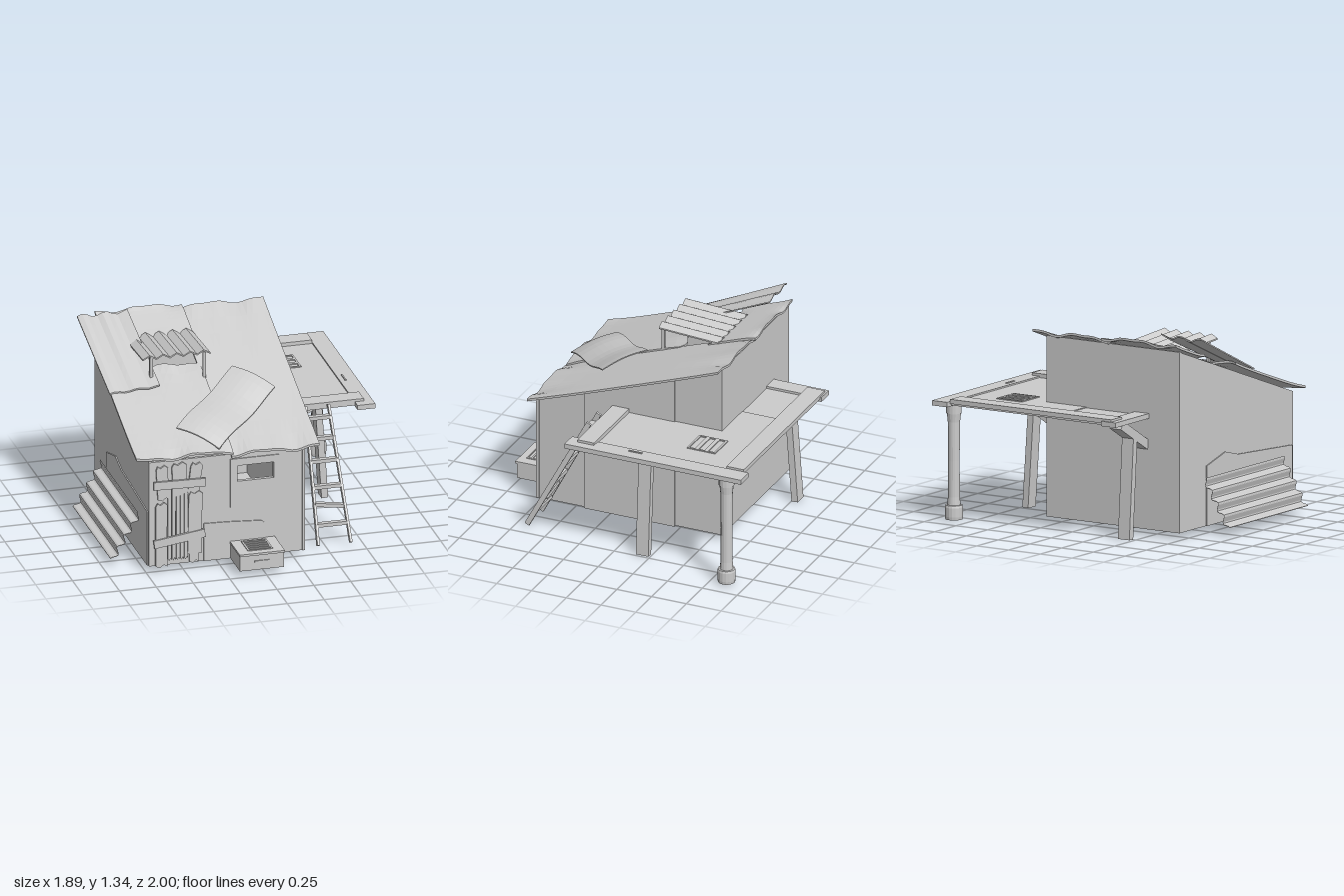
import * as THREE from 'three';

const mat = new THREE.MeshStandardMaterial({ color: 0xcccccc, flatShading: true, side: THREE.DoubleSide });

export function createModel() {
  const model = new THREE.Group();
  let parent = model;
  const group = (name) => {
    parent = new THREE.Group();
    parent.name = name;
    model.add(parent);
  };
  const add = (name, geo) => {
    const m = new THREE.Mesh(geo, mat);
    m.name = name;
    parent.add(m);
    return m;
  };
  // Box given by its limits on each axis
  const box = (name, x0, x1, y0, y1, z0, z1) => {
    const m = add(name, new THREE.BoxGeometry(x1 - x0, y1 - y0, z1 - z0));
    m.position.set((x0 + x1) / 2, (y0 + y1) / 2, (z0 + z1) / 2);
    return m;
  };
  // Square-cut beam between two points
  const beam = (name, a, b, w, d) => {
    const p = new THREE.Vector3(...a), q = new THREE.Vector3(...b);
    const m = add(name, new THREE.BoxGeometry(w, p.distanceTo(q), d));
    m.position.copy(p).add(q).multiplyScalar(0.5);
    m.quaternion.setFromUnitVectors(new THREE.Vector3(0, 1, 0), q.sub(p).normalize());
    return m;
  };
  // Bent sheet: f(u, v) gives the middle surface
  const sheet = (name, nu, nv, t, f) => {
    const geo = new THREE.BoxGeometry(1, 1, 1, nu, 1, nv);
    const p = geo.attributes.position;
    for (let i = 0; i < p.count; i++) {
      const [x, y, z] = f(p.getX(i) + 0.5, p.getZ(i) + 0.5);
      p.setXYZ(i, x, y + p.getY(i) * t, z);
    }
    geo.computeVertexNormals();
    return add(name, geo);
  };
  const poly = (pts) => new THREE.Shape(pts.map(([x, y]) => new THREE.Vector2(x, y)));
  const rect = (x0, x1, y0, y1) => [[x0, y0], [x1, y0], [x1, y1], [x0, y1]];
  // Plate cut from an outline with holes
  const plate = (name, pts, holes, depth) => {
    const s = poly(pts);
    s.holes = holes.map(poly);
    return add(name, new THREE.ExtrudeGeometry(s, { depth, bevelEnabled: false }));
  };
  // Plate standing along z: outline is given as (z, y), outer face at x + depth
  const sidePlate = (name, pts, x, depth) => {
    const m = plate(name, pts.map(([z, y]) => [-z, y]), [], depth);
    m.rotation.y = Math.PI / 2;
    m.position.x = x;
  };
  const roofY = (z) => 1.055 - 0.355 * z;
  const wallY = (z) => roofY(z) - 0.015;
  const mix = THREE.MathUtils.lerp;

  // House walls
  group('house');
  box('floor', -0.73, 0.32, 0.04, 0.06, -0.58, 0.75);
  box('backWall', -0.73, 0.32, 0.04, wallY(-0.58), -0.58, -0.56);
  const profile = [[-0.58, 0.04], [0.75, 0.04], [0.75, wallY(0.75)], [-0.58, wallY(-0.58)]];
  sidePlate('rightWall', profile, 0.30, 0.02);
  sidePlate('leftWall', profile, -0.73, 0.02);
  const opening = rect(-0.13, 0.115, 0.58, 0.69);
  plate('frontWall', rect(-0.73, 0.32, 0.04, 0.775), [opening], 0.02).position.z = 0.73;
  plate('windowPanel', rect(-0.18, 0.16, 0.4, 0.74), [opening], 0.012).position.z = 0.745;
  plate('frontPatch', [[-0.36, 0.04], [0.06, 0.04], [0.06, 0.16], [0.05, 0.27], [0.03, 0.285], [-0.2, 0.3], [-0.36, 0.305]],
    [], 0.012).position.z = 0.745;
  sidePlate('sidePanel', [[-0.24, 0.035], [0.41, 0.035], [0.41, wallY(0.41)], [-0.24, wallY(-0.24)]], 0.315, 0.015);
  sidePlate('leftPatch', [[-0.27, 0.04], [0.73, 0.04], [0.73, 0.42], [0.1, 0.46], [-0.05, 0.5], [-0.27, 0.44]], -0.738, 0.012);
  box('cornerTrim', 0.31, 0.328, 0.04, 0.775, 0.735, 0.757);

  // Door of broken planks
  group('door');
  const plank = (x0, x1, y0, y1, z, tilt = 0) => {
    const w = (x1 - x0) / 2, h = (y1 - y0) / 2;
    const m = plate('doorPlank', [[-w, -h + 0.012], [-w * 0.3, -h], [w * 0.4, -h + 0.02], [w, -h + 0.004],
      [w * 0.92, 0], [w, h - 0.02], [w * 0.45, h], [-w * 0.2, h - 0.018], [-w * 0.7, h - 0.004], [-w, h - 0.03]], [], 0.014);
    m.position.set((x0 + x1) / 2, (y0 + y1) / 2, z);
    m.rotation.z = tilt;
  };
  for (let i = 0; i < 5; i++) plank(-0.605 + i * 0.028, -0.58 + i * 0.028, 0.07, 0.6, 0.75);
  plank(-0.69, -0.61, 0.03, 0.49, 0.757);
  plank(-0.47, -0.375, 0.1, 0.55, 0.76, -0.02);
  plank(-0.68, -0.6, 0.5, 0.75, 0.752, 0.06);
  plank(-0.575, -0.475, 0.52, 0.76, 0.752, 0.04);
  plank(-0.46, -0.38, 0.52, 0.75, 0.752, -0.12);
  plank(-0.46, -0.395, 0.04, 0.13, 0.752);
  const rail = (y, tilt) => {
    const m = box('doorRail', -0.705, -0.355, y - 0.028, y + 0.028, 0.766, 0.782);
    m.rotation.z = tilt;
  };
  rail(0.612, -0.02);
  rail(0.225, 0.14);

  // Roof sheets, leaving a gap below the raised hatch
  group('roof');
  const wave = (x, z) => 0.012 * Math.sin(x * 15 + 1) + 0.006 * Math.sin(x * 31 + z * 4);
  const roofSheet = (name, x0, x1, z0, z1, lift, jag = 0) => sheet(name, 16, 10, 0.016, (u, v) => {
    const x = mix(x0, x1, u), z = mix(z0, z1, v) + jag * (1 - v) * Math.sin(u * 19);
    const edge = Math.pow(Math.abs(2 * v - 1), 4);
    return [x, roofY(z) + lift + wave(x, z) * edge, z];
  });
  roofSheet('rightSheet', -0.175, 0.42, -0.595, 0.78, 0.002);
  roofSheet('lowerLeftSheet', -0.82, -0.16, -0.06, 0.765, 0.014, 0.018);
  roofSheet('upperLeftSheet', -0.72, -0.13, -0.61, -0.27, 0.014);
  sheet('looseSheet', 10, 8, 0.01, (u, v) => [mix(-0.87, -0.53, u) + 0.04 * v, mix(1.32, 1.05, v)
    + 0.014 * Math.sin(u * 14) * (1 - v * 0.6) - 0.02 * (1 - u) * v, mix(-0.5, 0.15, v)]);
  sheet('diagonalPatch', 10, 8, 0.008, (u, v) => [
    -0.49 + 0.506 * u + 0.23 * v,
    0.915 + 0.185 * u - 0.085 * v + 0.012 * Math.sin(u * 8) + 0.02 * Math.sin(v * Math.PI),
    0.553 - 0.457 * u + 0.22 * v]);

  // Raised corrugated hatch
  group('hatch');
  sheet('hatchCover', 10, 1, 0.01, (u, v) => [mix(-0.585, -0.125, u),
    mix(1.2, 1.225, v) + (Math.round(u * 10) % 2 ? 0.014 : -0.012), mix(-0.36, 0.08, v)]);
  for (const x of [-0.525, -0.165]) box('hatchPost', x - 0.01, x + 0.01, 1.03, 1.225, 0.055, 0.075);
  box('hatchBeam', -0.53, -0.16, 1.175, 1.19, -0.29, -0.27);

  // Corrugated sheet leaning on the left wall
  group('leaningSheet');
  sheet('corrugatedSheet', 32, 1, 0.004, (u, v) => {
    const c = 0.018 * Math.cos(u * Math.PI * 8);
    return [mix(-0.935, -0.75, u) - 0.85 * c, mix(0.05, 0.36, u) + 0.53 * c, mix(-0.32, 0.6, v)];
  });

  // Crate with slotted lid
  const vent = (name, x0, x1, z0, z1, y, n) => {
    const step = (z1 - z0) / n;
    const slots = Array.from({ length: n }, (_, i) => rect(x0 + 0.012, x1 - 0.012, -z0 - step * (i + 0.8), -z0 - step * (i + 0.2)));
    const m = plate(name, rect(x0, x1, -z1, -z0), slots, 0.008);
    m.rotation.x = -Math.PI / 2;
    m.position.y = y;
  };
  group('crate');
  box('crateBody', -0.18, 0.12, 0.04, 0.15, 0.75, 0.99);
  box('crateLid', -0.183, 0.123, 0.145, 0.16, 0.75, 1.0);
  box('crateHandle', -0.08, 0.02, 0.095, 0.105, 0.988, 0.997);
  vent('crateVent', -0.115, 0.055, 0.785, 0.95, 0.158, 5);

  // Platform around the back and right of the house
  group('platform');
  box('backDeckLeft', -0.42, 0.005, 0.783, 0.797, -0.95, -0.58);
  box('backDeck', 0.005, 0.85, 0.785, 0.803, -0.95, -0.58);
  box('sideDeck', 0.32, 0.85, 0.785, 0.803, -0.58, 0.2);
  box('rightBoard', 0.82, 0.94, 0.78, 0.813, -1.0, 0.27);
  box('leftBoard', -0.49, -0.375, 0.78, 0.813, -0.975, -0.58);
  box('backBoard', -0.45, 0.82, 0.798, 0.828, -0.965, -0.84);
  box('frontBoard', 0.33, 0.88, 0.803, 0.83, 0.085, 0.205);
  box('deckHandle', 0.853, 0.863, 0.81, 0.82, -0.25, -0.155);
  vent('deckVent', 0.445, 0.645, -0.68, -0.475, 0.802, 3);

  // Braced posts
  group('posts');
  beam('sidePost', [0.715, 0, -0.195], [0.67, 0.69, -0.195], 0.045, 0.09);
  beam('sideBrace', [0.31, 0.485, -0.195], [0.85, 0.78, -0.195], 0.06, 0.09);
  beam('backPost', [-0.435, 0, -0.775], [-0.435, 0.69, -0.725], 0.09, 0.045);
  beam('backBrace', [-0.435, 0.6, -0.57], [-0.435, 0.78, -0.88], 0.09, 0.06);

  // Round pillar with collars
  group('pillar');
  const pillarProfile = [[0, 0.01], [0.057, 0.01], [0.06, 0.03], [0.06, 0.09], [0.056, 0.105], [0.044, 0.106], [0.04, 0.16],
    [0.038, 0.4], [0.041, 0.66], [0.047, 0.715], [0.052, 0.716], [0.052, 0.785], [0, 0.785]];
  add('pillarColumn', new THREE.LatheGeometry(pillarProfile.map(([r, y]) => new THREE.Vector2(r, y)), 16))
    .position.set(0.86, 0, -0.86);

  // Ladder
  group('ladder');
  const ladderZ = (y) => mix(0.665, 0.235, (y - 0.02) / 0.81);
  const railX = (side, y) => 0.553 + side * mix(0.112, 0.078, y / 0.83);
  for (const s of [-1, 1]) beam('ladderRail', [railX(s, 0.02), 0.02, ladderZ(0.02)], [railX(s, 0.83), 0.83, ladderZ(0.83)], 0.016, 0.035);
  for (const [y, tilt] of [[0.14, 0], [0.25, -0.03], [0.36, 0], [0.51, 0], [0.64, 0], [0.76, 0]]) {
    beam('ladderRung', [railX(-1, y), y - tilt / 2, ladderZ(y)], [railX(1, y), y + tilt / 2, ladderZ(y)], 0.025, 0.035);
  }
  return model;
}
